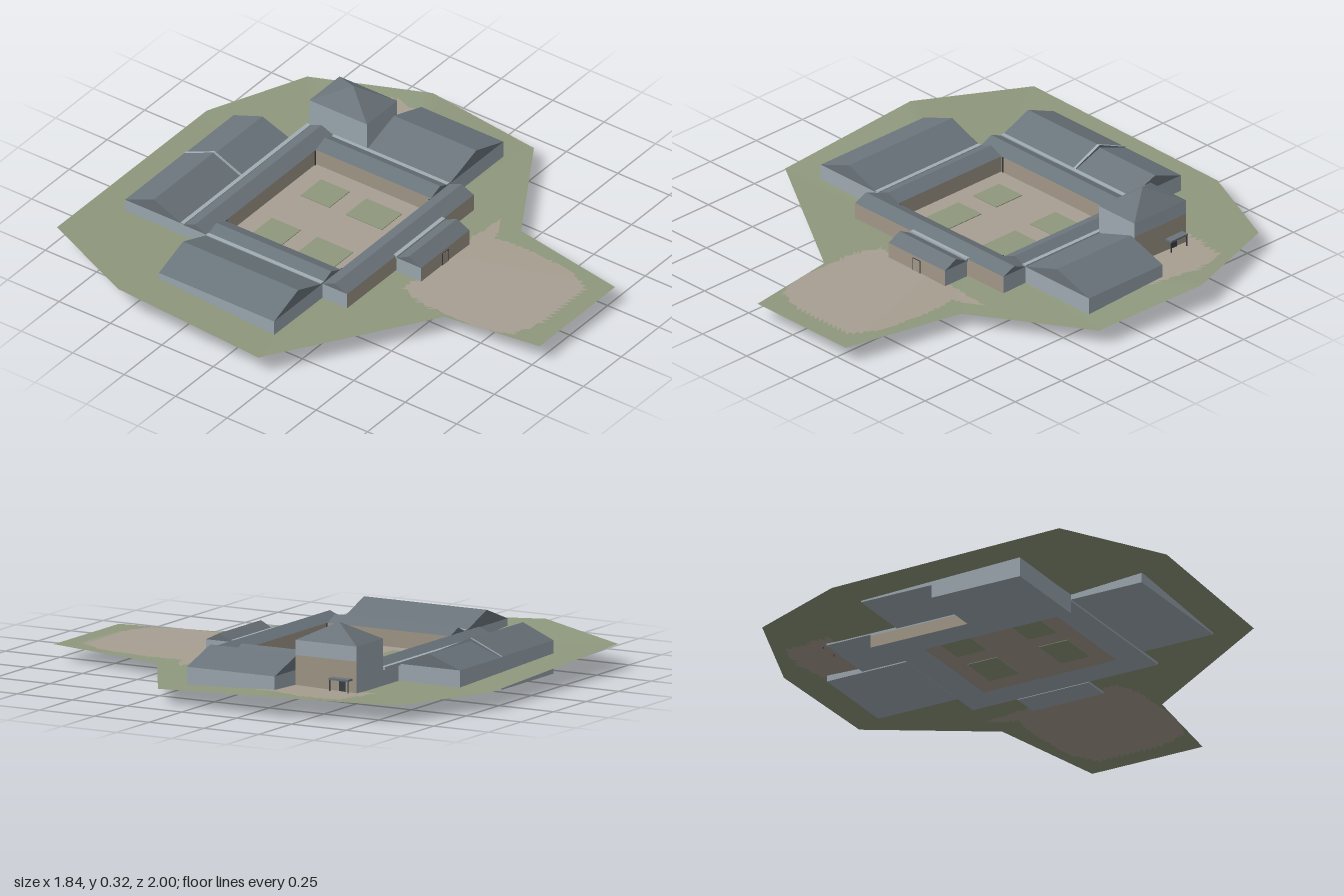
import * as THREE from 'three';

const mat = (name, color, side = THREE.FrontSide) => {
  const m = new THREE.MeshStandardMaterial({ color, side });
  m.name = name;
  return m;
};
const wall = mat('pale blue-grey wall', 0xa0acb4);
const tan = mat('tan wall', 0xa59b8b);
const roof = mat('slate roof', 0x6b757c);
const dark = mat('dark trim', 0x3c4248);
const grass = mat('grass', 0x8f997e, THREE.DoubleSide);
const paving = mat('paving', 0xa89f92, THREE.DoubleSide);

export function createModel() {
  const root = new THREE.Group();
  root.name = 'courtyardComplex';

  const add = (parent, name, geo, material) => {
    const m = new THREE.Mesh(geo, material);
    m.name = name;
    parent.add(m);
    return m;
  };
  // Box from its limits on each axis
  const block = (parent, name, [x0, x1], [y0, y1], [z0, z1], material) => {
    const m = add(parent, name, new THREE.BoxGeometry(x1 - x0, y1 - y0, z1 - z0), material);
    m.position.set((x0 + x1) / 2, (y0 + y1) / 2, (z0 + z1) / 2);
  };
  // Gable roof, with its ridge along x or z
  const gable = (parent, name, [x0, x1], [z0, z1], eave, ridge, axis, material) => {
    const span = axis === 'x' ? z1 - z0 : x1 - x0;
    const length = axis === 'x' ? x1 - x0 : z1 - z0;
    const s = new THREE.Shape();
    s.moveTo(-span / 2, 0);
    s.lineTo(span / 2, 0);
    s.lineTo(0, ridge - eave);
    s.closePath();
    const geo = new THREE.ExtrudeGeometry(s, { depth: length, bevelEnabled: false });
    geo.translate(0, 0, -length / 2);
    if (axis === 'x') geo.rotateY(Math.PI / 2);
    const m = add(parent, name, geo, material);
    m.position.set((x0 + x1) / 2, eave, (z0 + z1) / 2);
  };
  // Walls with chosen faces in tan: order +x, -x, top, underside, +z, -z
  const walls = (parent, name, xs, ys, zs, tanFaces = '') => {
    const keys = ['E', 'W', 'top', 'floor', 'S', 'N'];
    block(parent, name, xs, ys, zs, keys.map((k) => (tanFaces.includes(k) ? tan : wall)));
  };
  const hall = (name, xs, zs, base, eave, ridge, axis, tanFaces) => {
    const g = new THREE.Group();
    g.name = name;
    root.add(g);
    walls(g, 'walls', xs, [base, eave], zs, tanFaces);
    gable(g, 'roof', xs, zs, eave, ridge, axis, roof);
    return g;
  };

  // Ranges around the courtyard
  hall('northCorridor', [-0.44, 0.4], [-0.56, -0.44], 0.05, 0.13, 0.155, 'x', 'S');
  hall('southCorridor', [-0.44, 0.4], [0.12, 0.24], 0.052, 0.13, 0.155, 'x', 'SN');
  hall('westCorridor', [-0.44, -0.32], [-0.44, 0.12], 0.052, 0.13, 0.155, 'z', 'E');
  hall('eastCorridor', [0.28, 0.4], [-0.44, 0.12], 0.052, 0.13, 0.155, 'z', 'W');

  // Outer halls and entrance porch
  hall('westHall', [-0.76, -0.44], [-0.44, 0.12], 0.06, 0.13, 0.19, 'z', '');
  hall('eastHall', [0.4, 0.76], [-0.28, 0.12], 0.051, 0.13, 0.19, 'z', '');
  hall('northHallHigh', [-0.44, -0.04], [-0.84, -0.56], 0.05, 0.133, 0.192, 'x', '');
  hall('northHallLow', [-0.04, 0.28], [-0.84, -0.56], 0.055, 0.13, 0.182, 'x', '');
  const porch = hall('porch', [-0.12, 0.2], [0.245, 0.365], 0.052, 0.125, 0.155, 'x', 'S');
  block(porch, 'doorFrame', [0.019, 0.061], [0.055, 0.115], [0.365, 0.367], dark);
  block(porch, 'door', [0.022, 0.058], [0.055, 0.112], [0.365, 0.368], tan);

  // Basement below the north corridor and the higher hall
  const basement = new THREE.Group();
  basement.name = 'basement';
  root.add(basement);
  walls(basement, 'corridorBasement', [-0.44, 0.4], [0, 0.05], [-0.56, -0.44], 'N');
  walls(basement, 'hallBasement', [-0.44, -0.04], [0, 0.05], [-0.84, -0.56]);

  // Pale gutters and the strip on the stepped hall roof
  const gutters = new THREE.Group();
  gutters.name = 'gutters';
  root.add(gutters);
  block(gutters, 'westGutter', [-0.45, -0.432], [0.125, 0.137], [-0.44, 0.12], wall);
  block(gutters, 'eastGutter', [0.384, 0.402], [0.125, 0.137], [-0.44, 0.12], wall);
  block(gutters, 'northGutter', [-0.44, 0.4], [0.125, 0.137], [-0.57, -0.552], wall);
  block(gutters, 'southGutter', [-0.12, 0.2], [0.12, 0.134], [0.228, 0.248], wall);
  gable(gutters, 'roofStep', [-0.047, -0.035], [-0.841, -0.559], 0.133, 0.194, 'x', [roof, wall]);

  // Tower with a pyramid roof and a side entrance
  const tower = new THREE.Group();
  tower.name = 'tower';
  root.add(tower);
  walls(tower, 'lowerWalls', [0.4, 0.6], [0.056, 0.19], [-0.56, -0.28], 'E');
  walls(tower, 'upperWalls', [0.4, 0.6], [0.19, 0.25], [-0.56, -0.28]);
  const cone = new THREE.ConeGeometry(Math.SQRT1_2, 0.07, 4, 1).rotateY(Math.PI / 4);
  const cap = add(tower, 'pyramidRoof', cone.toNonIndexed(), roof);
  cap.scale.set(0.2, 1, 0.28);
  cap.position.set(0.5, 0.285, -0.42);
  cap.geometry.computeVertexNormals();
  block(tower, 'canopy', [0.6, 0.632], [0.112, 0.12], [-0.54, -0.45], roof);
  for (const z of [-0.537, -0.453])
    block(tower, 'canopyPost', [0.626, 0.63], [0.06, 0.112], [z - 0.002, z + 0.002], dark);
  block(tower, 'sideDoor', [0.6, 0.603], [0.06, 0.105], [-0.508, -0.482], dark);

  // Courtyard, planted beds and downpipes
  const court = new THREE.Group();
  court.name = 'courtyard';
  root.add(court);
  block(court, 'courtyardPaving', [-0.32, 0.28], [0.052, 0.062], [-0.44, 0.12], paving);
  for (const xs of [[-0.25, -0.12], [0.07, 0.205]])
    for (const zs of [[-0.36, -0.22], [-0.14, 0.035]])
      block(court, 'bed', xs, [0.05, 0.065], zs, grass);
  for (const x of [-0.312, 0.272])
    for (const z of [-0.438, 0.118])
      block(court, 'downpipe', [x - 0.002, x + 0.002], [0.062, 0.13], [z - 0.002, z + 0.002], dark);

  // Terrain: rings shrinking from the outline, paved areas in a second material
  const outline = [
    [-0.7, 0.09, -0.98], [0.32, 0.062, -1], [0.74, 0.062, -0.82], [0.92, 0.08, -0.34],
    [0.88, 0.056, 0.18], [0.4, 0.052, 0.47], [0.3, 0.06, 1], [-0.2, 0.06, 1],
    [-0.26, 0.06, 0.58], [-0.92, 0.065, 0.16], [-0.92, 0.11, -0.52],
  ].map((p) => new THREE.Vector3(...p));
  const paths = [
    [[-0.2, 0.34], [-0.24, 0.45], [-0.24, 0.75], [-0.2, 0.86], [-0.08, 0.91], [0.22, 0.91],
      [0.29, 0.8], [0.31, 0.55], [0.3, 0.42], [0.42, 0.36], [0.2, 0.34]],
    [[0.56, -0.61], [0.77, -0.59], [0.81, -0.42], [0.77, -0.2], [0.72, -0.2], [0.56, -0.26]],
  ];
  const inside = (x, z, poly) => {
    let hit = false;
    poly.forEach(([ax, az], i) => {
      const [bx, bz] = poly[(i + 1) % poly.length];
      if (az > z !== bz > z && x < ((bx - ax) * (z - az)) / (bz - az) + ax) hit = !hit;
    });
    return hit;
  };
  const rings = 36, perEdge = 18, count = outline.length * perEdge;
  const centre = new THREE.Vector3(0, 0.06, 0.1);
  const pos = [];
  for (let r = 0; r <= rings; r++)
    for (let i = 0; i < count; i++) {
      const e = Math.floor(i / perEdge);
      const p = outline[e].clone().lerp(outline[(e + 1) % outline.length], (i % perEdge) / perEdge);
      pos.push(...centre.clone().lerp(p, r / rings).toArray());
    }
  const faces = [[], []];
  const tri = (a, b, c) => {
    const x = (pos[a * 3] + pos[b * 3] + pos[c * 3]) / 3;
    const z = (pos[a * 3 + 2] + pos[b * 3 + 2] + pos[c * 3 + 2]) / 3;
    // open where the courtyard floor sits
    if (x > -0.38 && x < 0.34 && z > -0.5 && z < 0.18) return;
    faces[paths.some((p) => inside(x, z, p)) ? 1 : 0].push(a, c, b);
  };
  for (let r = 0; r < rings; r++)
    for (let i = 0; i < count; i++) {
      const j = (i + 1) % count, a = r * count, b = a + count;
      tri(a + i, a + j, b + i);
      tri(a + j, b + j, b + i);
    }
  const ground = new THREE.BufferGeometry();
  ground.setAttribute('position', new THREE.Float32BufferAttribute(pos, 3));
  ground.setIndex([...faces[0], ...faces[1]]);
  ground.addGroup(0, faces[0].length, 0);
  ground.addGroup(faces[0].length, faces[1].length, 1);
  ground.computeVertexNormals();
  add(root, 'terrain', ground, [grass, paving]);

  return root;
}
